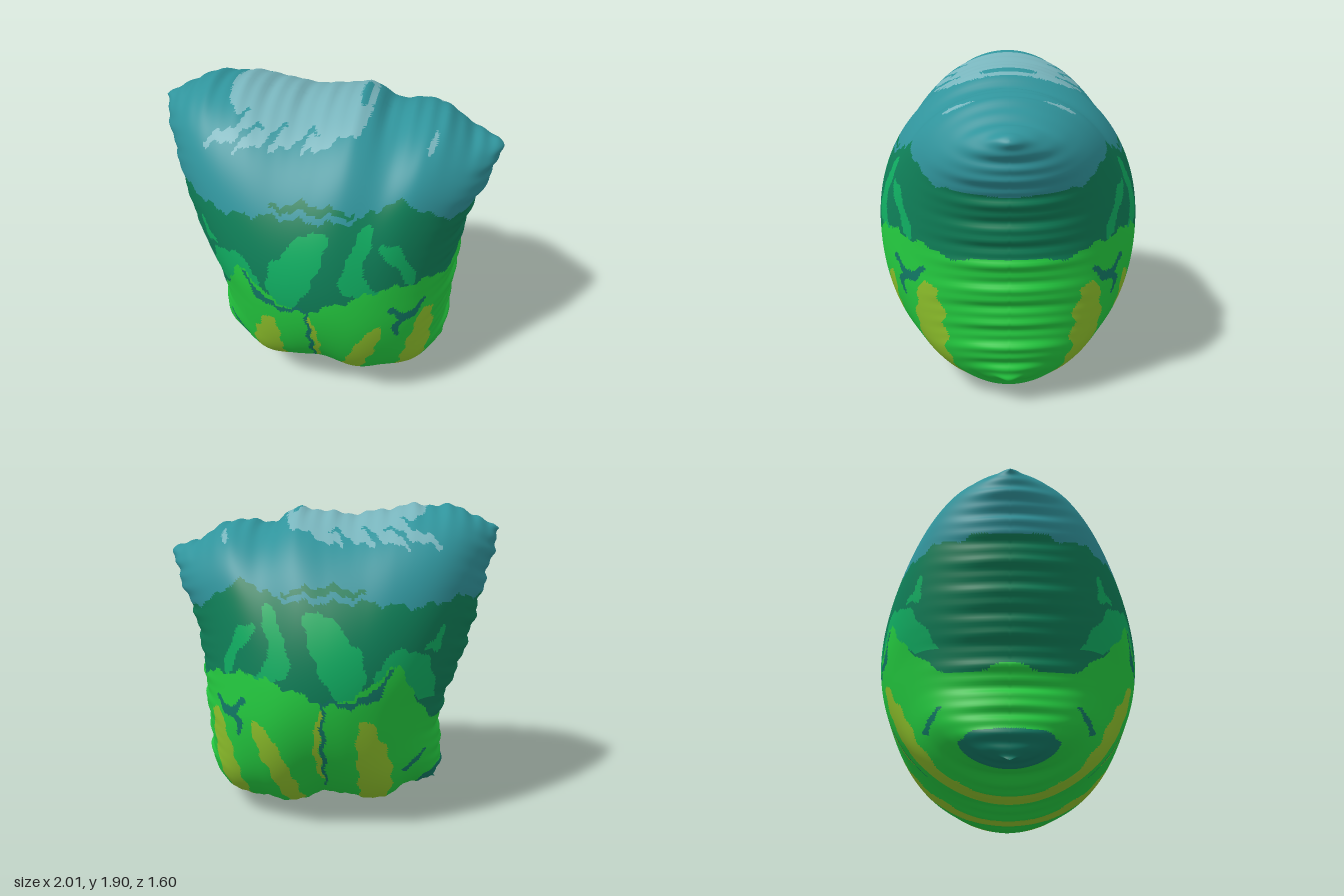
import * as THREE from 'three';

const N = 165; // cells along each side of a sheet
const DEPTH = 0.8;

// Smooth curve through evenly spaced values, read at t from 0 to 1
const profile = (...values) => {
  const curve = new THREE.SplineCurve(values.map((v) => new THREE.Vector2(0, v)));
  return (t) => curve.getPoint(THREE.MathUtils.clamp(t, 0, 1)).y;
};

// Rim of the cushion: heights along the top and bottom, half-widths up the sides
const rimTop = profile(1.76, 1.87, 1.9, 1.89, 1.85, 1.85, 1.88, 1.79, 1.81, 1.71, 1.63);
const rimBottom = profile(.15, .15, .05, .07, .09, .02, .05, .07, .16);
const rimLeft = profile(-.66, -.69, -.67, -.71, -.79, -.85, -.9, -.95, -1);
const rimRight = profile(.75, .78, .78, .8, .81, .83, .87, .95, 1);
const ragged = (t) => 0.01 * Math.sin(17 * Math.PI * t) + 0.006 * Math.sin(41 * Math.PI * t);

// Upper limits of the two green bands, from x = -1 to 1 and from x = -0.8 to 0.8
const forestLimit = profile(1.37, 1.41, 1.38, 1.41, 1.41, 1.42, 1.5, 1.34, 1.27);
const brightLimit = profile(.74, .68, 1.05, .92, .88, .94, 1, .98, .92);

const colours = {};
for (const [name, color] of Object.entries({
  teal: 0x30949c, pale: 0x78b4bc, forest: 0x0f7f58, emerald: 0x10ae62, bright: 0x24cc40, accent: 0x127a66, lime: 0x90c42c,
})) {
  colours[name] = new THREE.MeshStandardMaterial({ color, side: THREE.DoubleSide });
  colours[name].name = name;
}

// Tapered brush stroke: a row of dabs along a curve through three points
function stroke(colour, radius, x0, y0, x1, y1, x2, y2) {
  const curve = new THREE.SplineCurve([[x0, y0], [x1, y1], [x2, y2]].map((p) => new THREE.Vector2(...p)));
  const dabs = curve.getPoints(36).map((p, i) => ({ x: p.x, y: p.y, r: radius * (0.45 + 0.55 * Math.sin(Math.PI * i / 36)) }));
  return { colour, dabs };
}

// Strokes hidden by the bright band
const understrokes = [
  stroke('emerald', .12, -.12, .9, -.09, 1.08, .06, 1.32),
  stroke('emerald', .06, .4, .97, .25, 1.08, .33, 1.36),
  stroke('emerald', .09, -.58, .85, -.46, 1.06, -.3, 1),
  stroke('emerald', .025, -.64, 1.26, -.62, 1.16, -.56, 1.13),
  stroke('emerald', .04, .4, 1.27, .5, 1.17, .58, 1),
  stroke('forest', .022, -.2, 1.45, 0, 1.47, .24, 1.45),
];

// Strokes on top of both bands
const overstrokes = [
  stroke('lime', .1, -.25, .02, -.28, .35, -.23, .7),
  stroke('lime', .018, .025, .83, .05, .6, .03, .36),
  stroke('lime', .065, .18, .02, .27, .4, .4, .71),
  stroke('lime', .075, .52, .02, .6, .35, .66, .7),
  stroke('accent', .02, -.36, 1.04, -.24, .88, .01, .87),
  stroke('accent', .014, .01, .88, .015, .6, .01, .28),
  stroke('accent', .03, .47, .83, .55, .76, .65, .8),
  stroke('accent', .018, .55, .76, .51, .7, .5, .62),
  stroke('accent', .07, -.68, .3, -.62, .2, -.54, .13),
  stroke('accent', .02, -.56, .46, -.5, .42, -.45, .38),
  stroke('pale', .028, .62, 1.71, .625, 1.72, .63, 1.73),
  stroke('pale', .065, -.55, 1.9, -.1, 1.83, .24, 1.85),
];
// Fan of pale streaks below the crown
for (let i = 0; i < 4; i++) {
  const x = -.62 + .18 * i;
  overstrokes.push(stroke('pale', .028, x, 1.69, x + .14, 1.76, x + .34, 1.83));
}

const covering = (strokes, x, y) => strokes.find((s) => s.dabs.some((d) => (x - d.x) ** 2 + (y - d.y) ** 2 < d.r * d.r));

function colourAt(x, y) {
  // a slight wobble gives the paint a ragged edge
  const px = x + 0.009 * Math.sin(41 * y + 9 * x);
  const py = y + 0.014 * Math.sin(36 * x) + 0.008 * Math.sin(83 * x + 2);
  const over = covering(overstrokes, px, py);
  if (over) return over.colour;
  if (py < brightLimit((px + .8) / 1.6)) return 'bright';
  const under = covering(understrokes, px, py);
  if (under) return under.colour;
  return py < forestLimit((px + 1) / 2) ? 'forest' : 'teal';
}

// Puffed patch between the four rim curves; the raggedness fades inwards
function sheetPositions(sign) {
  const out = [];
  for (let j = 0; j <= N; j++) for (let i = 0; i <= N; i++) {
    const a = Math.sin((i / N - 0.5) * Math.PI), b = Math.sin((j / N - 0.5) * Math.PI);
    const u = (a + 1) / 2, v = (b + 1) / 2;
    const x = THREE.MathUtils.lerp(rimLeft(v), rimRight(v), u) + ragged(v) * a ** 12;
    const y = THREE.MathUtils.lerp(rimBottom(u), rimTop(u), v) + ragged(u) * b ** 12;
    const bulge = Math.max(0, (1 - a * a) * (1 - b * b) * (1 + 1.2 * a * a * b * b));
    out.push(x, y, sign * DEPTH * Math.sqrt(bulge));
  }
  return out;
}

export function createModel() {
  const model = new THREE.Group();
  model.name = 'paintedCushion';

  for (const [side, sign] of [['front', 1], ['back', -1]]) {
    const positions = sheetPositions(sign);
    const areas = {}, all = [];
    const addTriangle = (p, q, r) => {
      const mid = (k) => (positions[3 * p + k] + positions[3 * q + k] + positions[3 * r + k]) / 3;
      const tri = sign > 0 ? [p, q, r] : [p, r, q];
      all.push(...tri);
      (areas[colourAt(mid(0), mid(1))] ??= []).push(...tri);
    };
    for (let j = 0; j < N; j++) for (let i = 0; i < N; i++) {
      const p = j * (N + 1) + i, q = p + N + 1;
      addTriangle(p, p + 1, q + 1);
      addTriangle(p, q + 1, q);
    }
    // Normals come from the whole sheet so the colours join smoothly
    const sheet = new THREE.BufferGeometry();
    sheet.setAttribute('position', new THREE.Float32BufferAttribute(positions, 3));
    sheet.setIndex(all);
    sheet.computeVertexNormals();

    for (const [colour, index] of Object.entries(areas)) {
      const part = new THREE.BufferGeometry();
      part.setAttribute('position', sheet.attributes.position);
      part.setAttribute('normal', sheet.attributes.normal);
      part.setIndex(index);
      const mesh = new THREE.Mesh(part, colours[colour]);
      mesh.name = `${side} ${colour} area`;
      model.add(mesh);
    }
  }
  return model;
}
